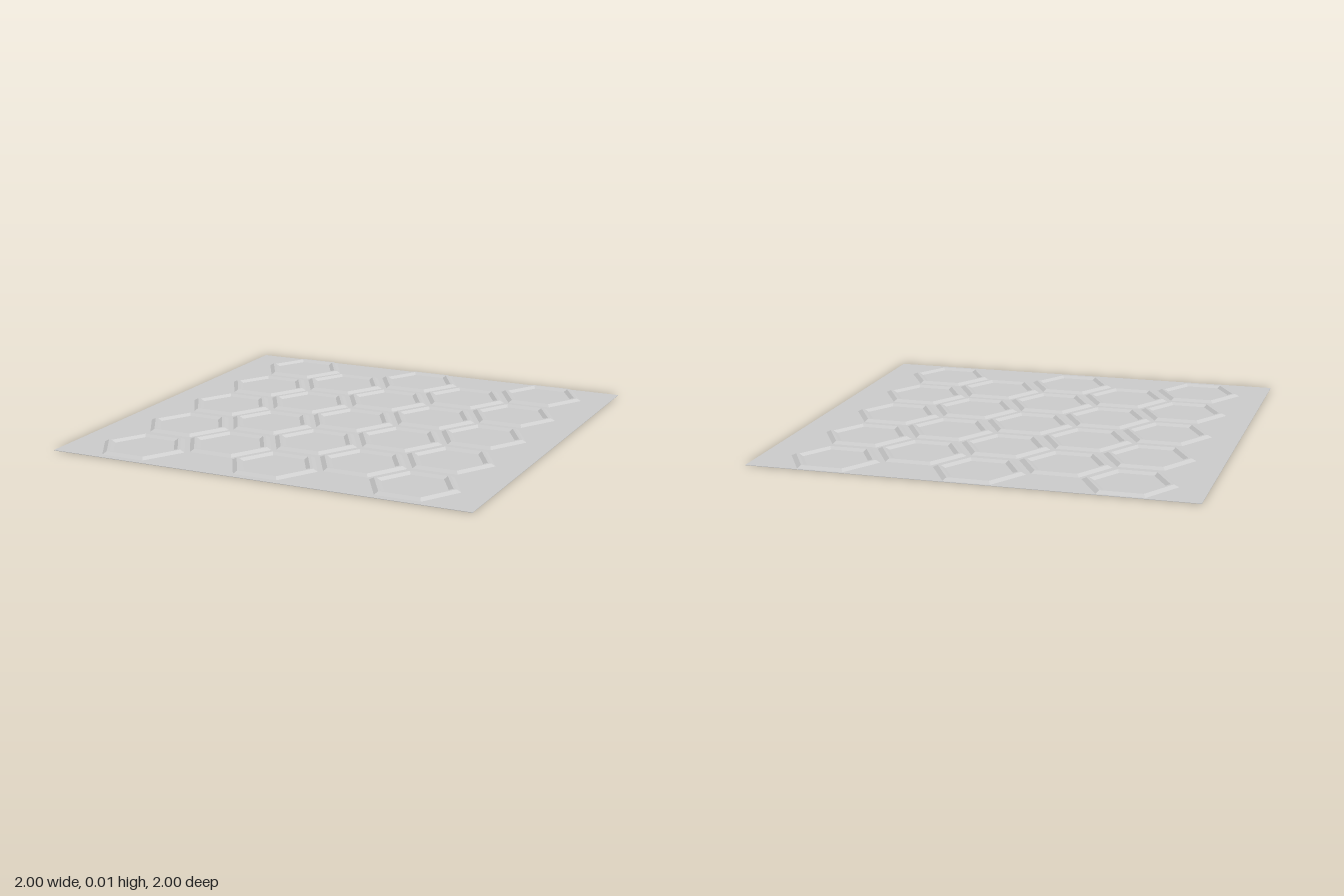
import * as THREE from 'three';

const PLATE = 0.002;   // plate thickness
const TOP = 0.013;     // height of the ridges
const ROW = 0.398;     // spacing along z
const COLUMN = 0.33;   // spacing along x

// Six-sided ring with a bevelled, flat-topped cross-section, corners on +x and -x
function hexRidgeGeometry() {
  const c = Math.cos(Math.PI / 6);
  const profile = [
    [0.181, PLATE], [0.162, TOP], [0.150, TOP], [0.133, PLATE],
  ].map(([flat, y]) => new THREE.Vector2(flat / c, y));
  return new THREE.LatheGeometry(profile, 6, Math.PI / 2);
}

export function createModel() {
  const model = new THREE.Group();
  model.name = 'hexTreadPlate';
  const material = new THREE.MeshStandardMaterial({ color: 0xcccccc, flatShading: true });

  // Thin square plate
  const plate = new THREE.Mesh(new THREE.BoxGeometry(2, PLATE, 2), material);
  plate.name = 'basePlate';
  plate.position.y = PLATE / 2;
  model.add(plate);

  // Staggered columns of five and four hexagonal ridges
  const ridges = new THREE.Group();
  ridges.name = 'hexRidges';
  ridges.position.set(-0.002, 0, -0.012);
  const geometry = hexRidgeGeometry();
  for (let col = -2; col <= 2; col++) {
    const count = col % 2 === 0 ? 5 : 4;
    for (let row = 0; row < count; row++) {
      const ridge = new THREE.Mesh(geometry, material);
      ridge.name = 'hexRidge';
      ridge.position.set(col * COLUMN, 0, (row - (count - 1) / 2) * ROW);
      ridges.add(ridge);
    }
  }
  model.add(ridges);
  return model;
}
